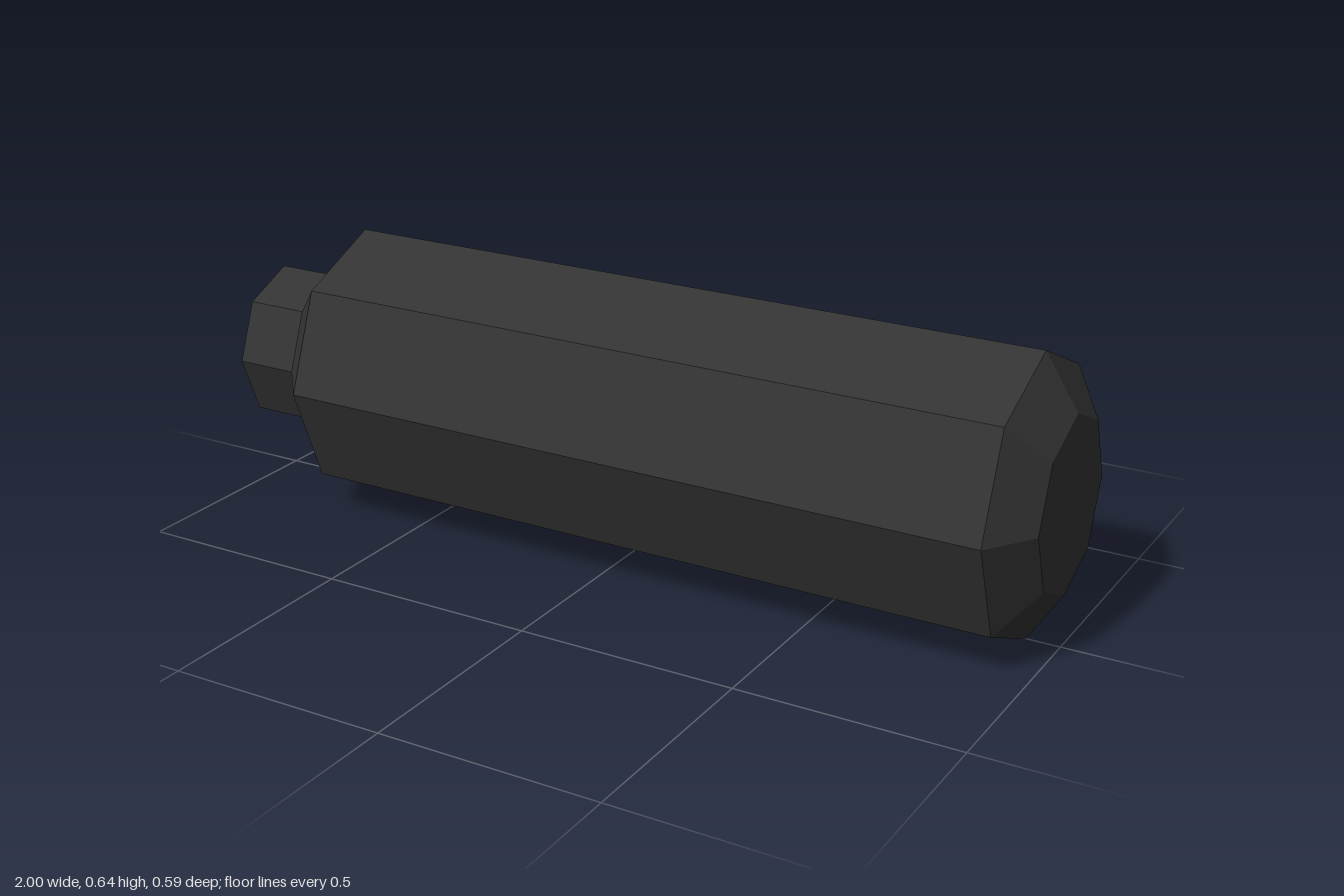
import * as THREE from 'three';

const SIDES = 8;
const CENTRE_Y = 0.318;
const DEPTH_RATIO = 0.924; // slightly narrower in z than in y

// Faceted solid of revolution along x, from [x, radius] pairs
function facetedBar(name, profile, material) {
  const points = profile.map(([x, r]) => new THREE.Vector2(r, x));
  let geometry = new THREE.LatheGeometry(points, SIDES);
  geometry.rotateZ(-Math.PI / 2);
  geometry.scale(1, 1, DEPTH_RATIO);
  geometry = geometry.toNonIndexed();
  geometry.computeVertexNormals();
  const mesh = new THREE.Mesh(geometry, material);
  mesh.name = name;
  mesh.position.y = CENTRE_Y;
  return mesh;
}

export function createModel() {
  const group = new THREE.Group();
  group.name = 'barrel';
  const black = new THREE.MeshStandardMaterial({ color: 0x333333 });
  black.name = 'matte black';

  // Narrow neck with its end cap
  group.add(facetedBar('neck', [[-1, 0], [-1, 0.19], [-0.85, 0.19]], black));

  // Main tube with a sloped shoulder, bevelled front and end cap
  group.add(facetedBar('body', [
    [-0.85, 0.19], [-0.75, 0.318], [0.925, 0.318], [1, 0.199], [1, 0],
  ], black));

  return group;
}
